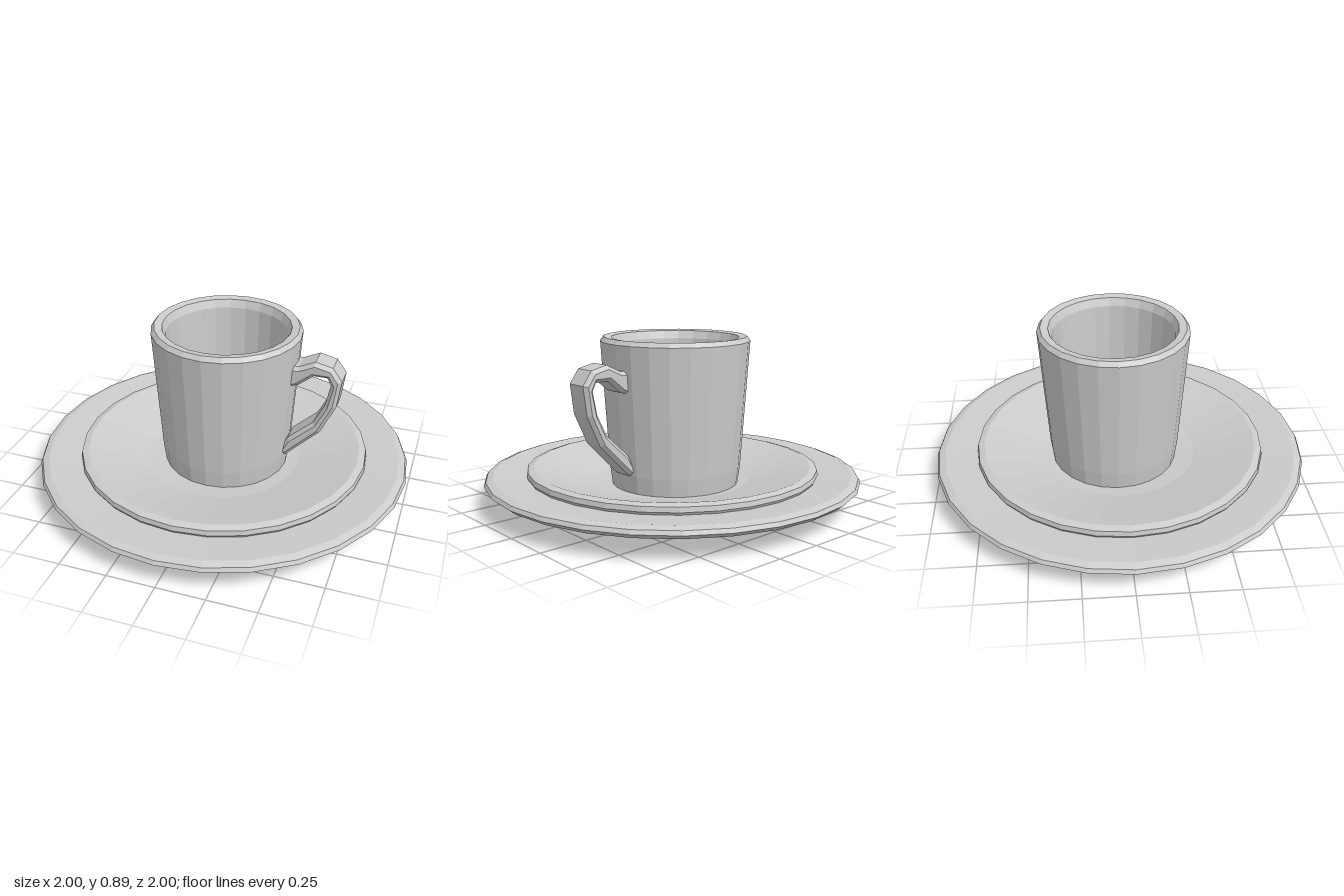
import * as THREE from 'three';

const material = new THREE.MeshStandardMaterial({ color: 0xcccccc, flatShading: true });

// Turned part from a list of [radius, height] points, bottom to top
function turned(name, profile, sides) {
  const points = profile.map(([r, y]) => new THREE.Vector2(r, y));
  const mesh = new THREE.Mesh(new THREE.LatheGeometry(points, sides), material);
  mesh.name = name;
  return mesh;
}

export function createModel() {
  const group = new THREE.Group();
  group.name = 'cupAndSaucer';

  // Saucer: flat foot, sloping underside, chamfered rim
  group.add(turned('saucer', [
    [0, 0], [0.55, 0], [0.97, 0.11], [1, 0.135], [0.99, 0.155], [0.955, 0.167], [0.76, 0.15], [0, 0.07],
  ], 28));

  // Raised inner dish, sunk towards the cup
  group.add(turned('innerDish', [
    [0.76, 0.13], [0.78, 0.165], [0.775, 0.19], [0.74, 0.2], [0.36, 0.1], [0, 0.09],
  ], 28));

  // Cup and its handle sit slightly behind the saucer's middle
  const cup = new THREE.Group();
  cup.name = 'cup';
  cup.position.set(0.005, 0, -0.03);
  group.add(cup);

  // Cup wall with thick rim and hollow inside
  cup.add(turned('cupBody', [
    [0, 0.085], [0.335, 0.085], [0.35, 0.2], [0.393, 0.865], [0.375, 0.888],
    [0.335, 0.882], [0.318, 0.84], [0.29, 0.15], [0, 0.145],
  ], 24));

  // Ear-shaped handle: side outline given depth with chamfered edges
  const outline = [
    [0.35, 0.74], [0.40, 0.74], [0.485, 0.78], [0.575, 0.76], [0.625, 0.69], [0.605, 0.54], [0.53, 0.38], [0.35, 0.2],
    [0.31, 0.22], [0.36, 0.31], [0.49, 0.43], [0.545, 0.54], [0.57, 0.66], [0.55, 0.70], [0.48, 0.70], [0.40, 0.635],
    [0.35, 0.62],
  ];
  const bevel = 0.018;
  const geometry = new THREE.ExtrudeGeometry(
    new THREE.Shape(outline.map(([x, y]) => new THREE.Vector2(x, y))),
    { depth: 0.11, bevelEnabled: true, bevelSegments: 1, bevelSize: bevel, bevelOffset: -bevel, bevelThickness: 0.02 },
  );
  geometry.translate(0, 0, -0.05);
  const handle = new THREE.Mesh(geometry, material);
  handle.name = 'handle';
  cup.add(handle);

  return group;
}
